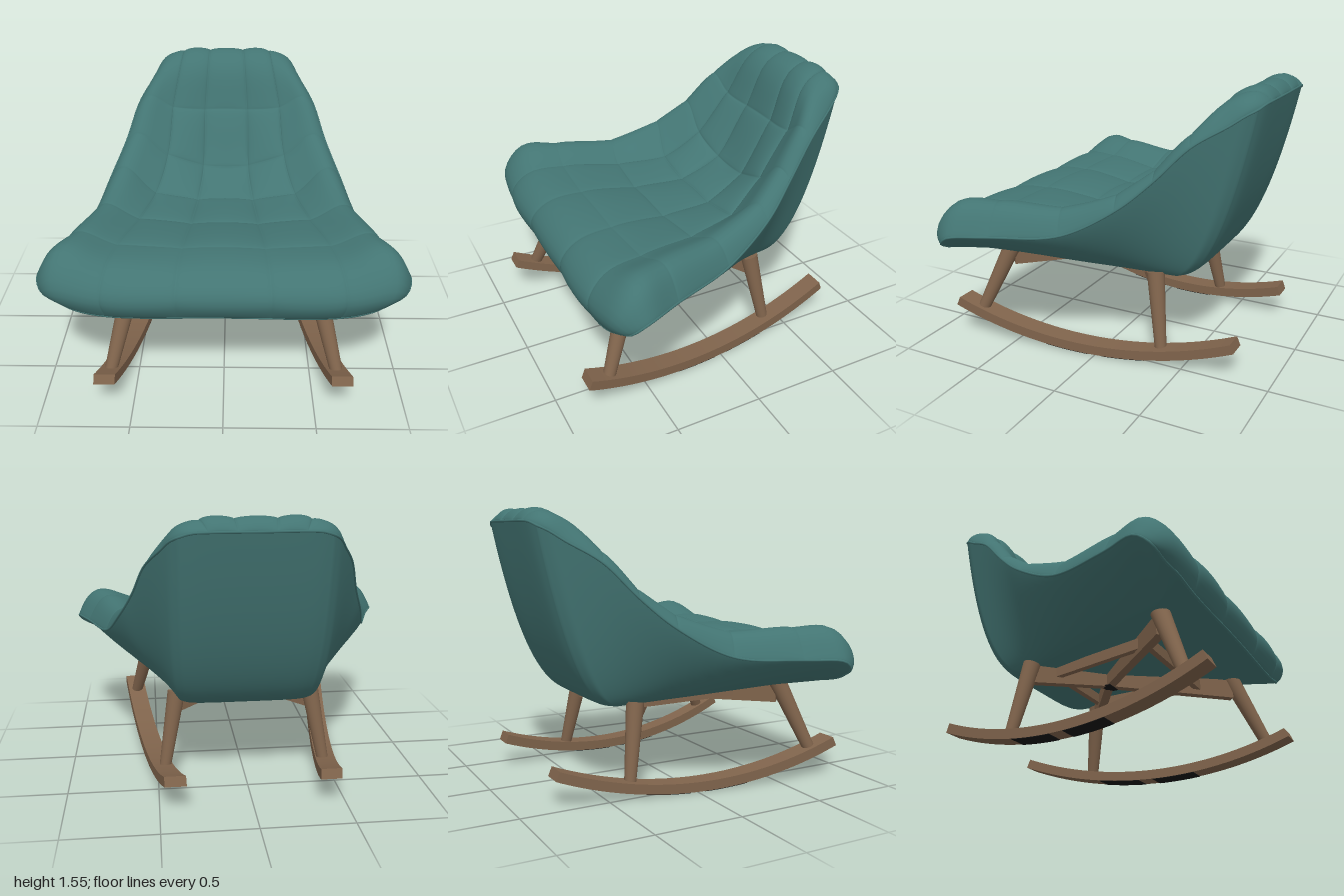
import * as THREE from 'three';
import { mergeVertices } from 'three/addons/utils/BufferGeometryUtils.js';

const V = (x, y, z) => new THREE.Vector3(x, y, z);
const { lerp, clamp, smoothstep } = THREE.MathUtils;

// Cushion stations, front lip to top of back: [centre y,z], [outer seam], [crest], [edge]
const STATIONS = [
  [[.575, .79], [.62, .575, .785], [.78, .605, .775], [.87, .635, .75]],
  [[.70, .81], [.64, .70, .808], [.88, .735, .775], [.96, .685, .725]],
  [[.79, .72], [.62, .81, .71], [.865, .88, .66], [.99, .74, .65]],
  [[.82, .52], [.58, .83, .50], [.79, .89, .47], [.91, .75, .45]],
  [[.78, .19], [.50, .80, .16], [.69, .88, .12], [.785, .775, .09]],
  [[.77, -.13], [.43, .82, -.14], [.61, .98, -.18], [.695, .93, -.20]],
  [[.88, -.385], [.37, .98, -.365], [.53, 1.12, -.37], [.615, 1.09, -.38]],
  [[1.21, -.58], [.34, 1.23, -.555], [.47, 1.31, -.535], [.545, 1.27, -.55]],
  [[1.465, -.69], [.29, 1.465, -.68], [.39, 1.445, -.67], [.46, 1.38, -.72]],
  [[1.515, -.79], [.27, 1.512, -.785], [.36, 1.485, -.78], [.42, 1.43, -.79]],
  [[1.48, -.865], [.24, 1.48, -.863], [.32, 1.475, -.855], [.38, 1.455, -.835]],
];
const ROWS = [0, 3, 4, 5, 6, 7, 10];
const COLS = [-3, -1, -.37, .37, 1, 3];
const LAST = STATIONS.length - 1;

// Lengthwise curves through the stations, right edge to left edge
const RIBS = [-3, -2, -1, 0, 1, 2, 3].map(k => new THREE.CatmullRomCurve3(STATIONS.map(s => {
  const p = s[Math.abs(k)];
  return k === 0 ? V(0, p[0], p[1]) : V(Math.sign(k) * p[0], p[1], p[2]);
})));
const crossCache = new Map();
function base(t, v) {
  v = clamp(v, 0, LAST);
  if (!crossCache.has(v)) crossCache.set(v, new THREE.CatmullRomCurve3(RIBS.map(c => c.getPoint(v / LAST))));
  return crossCache.get(v).getPoint(clamp((t + 3) / 6, 0, 1));
}

// Samples between seam positions, packed closer at the seams, with the swell there (zero at the border)
function samples(seams, n, seamSwell) {
  const out = [], cells = seams.length - 1;
  for (let c = 0; c < cells; c++) {
    const m = seams[c + 1] - seams[c] > 1.5 ? n + 6 : n;
    for (let i = c ? 1 : 0; i <= m; i++) {
      const f = (1 - Math.cos(Math.PI * i / m)) / 2;
      const seam = lerp(c ? seamSwell : 0, c < cells - 1 ? seamSwell : 0, f);
      const dome = Math.max(0, Math.sin(Math.PI * f)) ** .5;
      out.push({ p: lerp(seams[c], seams[c + 1], f), swell: lerp(seam, 1, dome) });
    }
  }
  return out;
}

function gridGeometry(nu, nv, point) {
  const pos = [], idx = [];
  for (let j = 0; j < nv; j++) for (let i = 0; i < nu; i++) pos.push(...point(i, j).toArray());
  for (let j = 0; j < nv - 1; j++) for (let i = 0; i < nu - 1; i++) {
    const a = j * nu + i, c = a + nu;
    idx.push(a, a + 1, c, a + 1, c + 1, c);
  }
  let g = new THREE.BufferGeometry();
  g.setAttribute('position', new THREE.Float32BufferAttribute(pos, 3));
  g.setIndex(idx);
  g = mergeVertices(g, 1e-5);
  g.computeVertexNormals();
  return g;
}

// Tufted pad: each cell swells along the surface normal, most in the lower back, least at the sides
function cushionGeometry() {
  const us = samples(COLS, 14, .5), vs = samples(ROWS, 14, .6), e = .02;
  return gridGeometry(us.length, vs.length, (i, j) => {
    const t = us[i].p, v = vs[j].p;
    const du = base(t + e, v).sub(base(t - e, v)), dv = base(t, v + e).sub(base(t, v - e));
    const middle = .036 + .022 * smoothstep(v, 3, 5) * (1 - smoothstep(v, 7, 8.5));
    const height = lerp(middle, .026, smoothstep(Math.abs(t), .8, 1.8));
    return base(t, v).addScaledVector(du.cross(dv).normalize(), height * us[i].swell * vs[j].swell);
  });
}

// Closed loop round the edge of the cushion
function rimLoop() {
  const n = 40, pts = [];
  for (let i = 0; i < n; i++) pts.push(base(-3 + 6 * i / n, LAST));
  for (let i = 0; i < n; i++) pts.push(base(3, LAST * (1 - i / n)));
  for (let i = 0; i < n; i++) pts.push(base(3 - 6 * i / n, 0));
  for (let i = 0; i < n; i++) pts.push(base(-3, LAST * i / n));
  return pts;
}

// Outer shell: from the rim, down round the lower edge, and across the underside
function shellGeometry(rim) {
  const floorY = z => .475 + (z + .4) * .085;
  const curves = rim.map(r => {
    const z = r.z * (r.z > 0 ? .95 : .72);
    const x = Math.sign(r.x) * Math.min(Math.abs(r.x), .42 + .18 * (z + .6));
    const k = V(x, floorY(z), z);
    const p1 = V(lerp(r.x, x, .22), lerp(r.y, k.y, .4), lerp(r.z, z, .35));
    const p3 = V(x * .8, floorY(z * .64), z * .64);
    return new THREE.CubicBezierCurve3(r, p1, k, p3);
  });
  const n = 24, centre = V(0, floorY(0), 0);
  return gridGeometry(rim.length + 1, n + 2, (i, j) =>
    j > n ? centre.clone() : curves[i % rim.length].getPoint(j / n));
}

// Curved strip of a rocker, splayed outward toward the front
function rockerStrip(side, inner, outer, from, to, width) {
  const R = 2.2, down = -Math.PI / 2;
  const s = new THREE.Shape();
  s.absarc(0, R, outer, down + from, down + to, false);
  s.absarc(0, R, inner, down + to, down + from, true);
  const g = new THREE.ExtrudeGeometry(s, { depth: width, bevelEnabled: false, curveSegments: 28 });
  g.translate(0, 0, -width / 2);
  g.rotateY(-Math.PI / 2);
  const p = g.attributes.position;
  for (let i = 0; i < p.count; i++) p.setX(i, p.getX(i) + side * (.415 + .14 * (p.getZ(i) + .78)));
  g.computeVertexNormals();
  return g;
}

export function createModel() {
  const fabric = new THREE.MeshStandardMaterial({ color: 0x437573 });
  fabric.name = 'teal fabric';
  const wood = new THREE.MeshStandardMaterial({ color: 0x80644c });
  wood.name = 'brown wood';
  const dark = new THREE.MeshStandardMaterial({ color: 0x151515 });
  dark.name = 'dark pads';

  const model = new THREE.Group();
  model.name = 'rockingChair';
  const add = (name, geometry, material) => {
    const m = new THREE.Mesh(geometry, material);
    m.name = name;
    model.add(m);
    return m;
  };
  // Tapered round leg from top a to bottom b
  const leg = (name, a, b, rTop, rBottom) => {
    const m = add(name, new THREE.CylinderGeometry(rTop, rBottom, a.distanceTo(b), 24), wood);
    m.position.copy(a).lerp(b, .5);
    m.quaternion.setFromUnitVectors(V(0, 1, 0), a.clone().sub(b).normalize());
  };
  // Straight rectangular bar from a to b
  const bar = (name, a, b, w, h) => {
    const m = add(name, new THREE.BoxGeometry(w, h, a.distanceTo(b)), wood);
    m.position.copy(a).lerp(b, .5);
    m.lookAt(b);
  };

  // Upholstery
  const rim = rimLoop();
  add('tuftedCushion', cushionGeometry(), fabric);
  add('outerShell', shellGeometry(rim), fabric);
  add('rimPiping', new THREE.TubeGeometry(new THREE.CatmullRomCurve3(rim, true), 200, .007, 6, true), fabric);

  // Legs, rockers and braces on each side
  for (const side of [1, -1]) {
    const tag = side > 0 ? 'left' : 'right';
    leg(tag + 'FrontLeg', V(side * .52, .58, .56), V(side * .632, .15, .735), .052, .034);
    leg(tag + 'RearLeg', V(side * .385, .50, -.29), V(side * .462, .06, -.362), .05, .032);
    add(tag + 'Rocker', rockerStrip(side, 2.142, 2.197, -.368, .407, .115), wood);
    for (const a of [-.135, .02])
      add(tag + 'RockerPad', rockerStrip(side, 2.196, 2.2, a, a + .115, .113), dark);
    bar(tag + 'FrontBrace', V(0, .495, 0), V(side * .52, .497, .565), .05, .11);
    bar(tag + 'RearBrace', V(0, .49, 0), V(side * .385, .435, -.29), .05, .10);
    bar(tag + 'SideRail', V(side * .36, .50, .42), V(side * .27, .47, -.2), .035, .06);
  }
  bar('frontRail', V(-.36, .503, .41), V(.36, .503, .41), .035, .06);
  bar('rearRail', V(-.28, .47, -.19), V(.28, .47, -.19), .035, .06);

  // Dark plate under the crossing of the braces
  add('bracePlate', new THREE.BoxGeometry(.1, .004, .06), dark).position.y = .438;
  return model;
}
